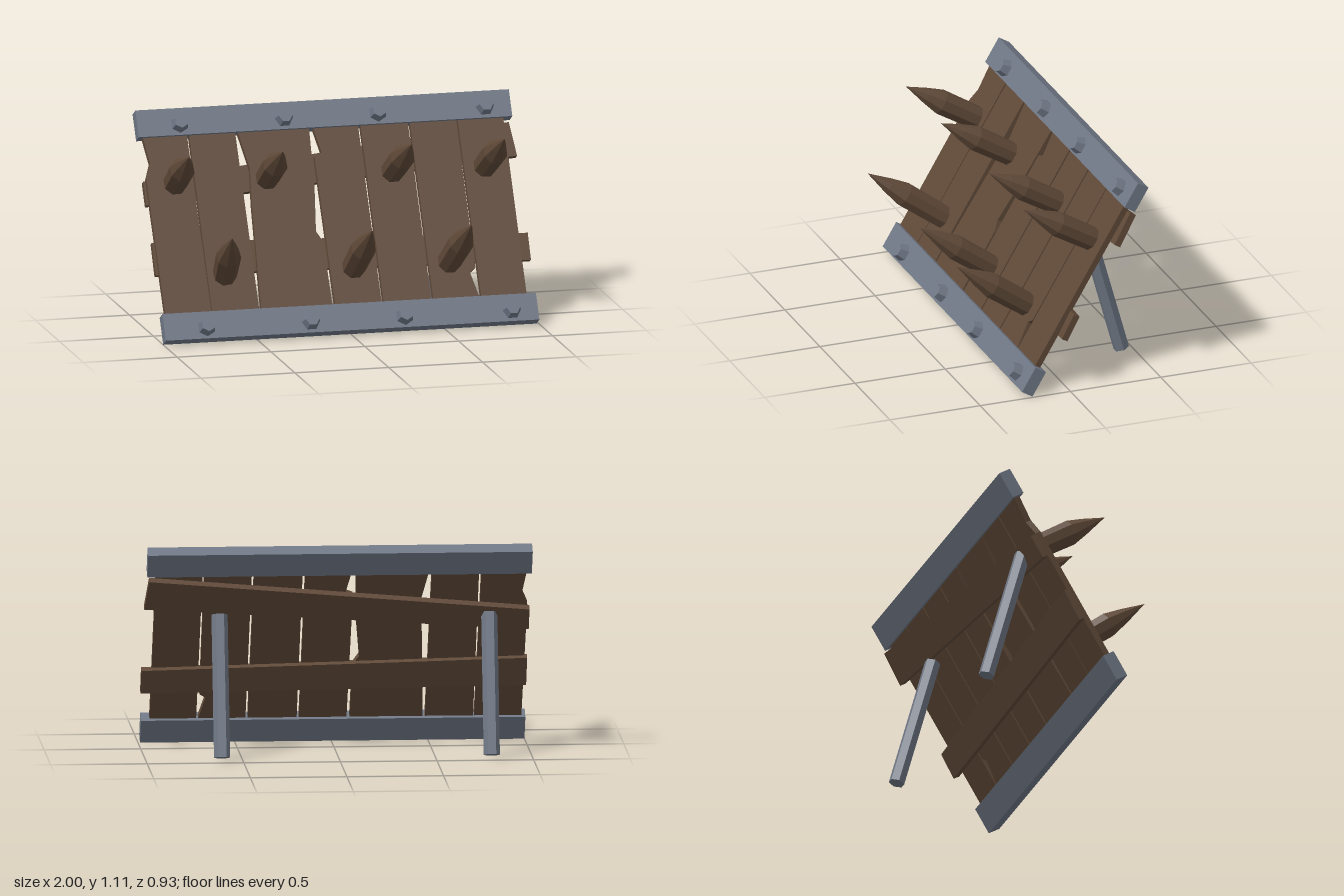
import * as THREE from 'three';

const TILT = -0.538;          // panel leans back
const COS = Math.cos(TILT);
const TOP = 1.108;            // top bar's distance up the panel

export function createModel() {
  const wood = new THREE.MeshStandardMaterial({ color: 0x5f4938 });
  wood.name = 'dark wood';
  const steel = new THREE.MeshStandardMaterial({ color: 0x6f7785 });
  steel.name = 'grey steel';

  const root = new THREE.Group();
  root.name = 'spikedBarricade';
  // Panel space: x across, y up the slope, z out of the front face
  const panel = new THREE.Group();
  panel.name = 'panel';
  panel.position.set(0, 0.08, 0.198);
  panel.rotation.x = TILT;
  root.add(panel);

  // Faceted mesh
  const add = (parent, name, geometry, material) => {
    const g = geometry.index ? geometry.toNonIndexed() : geometry;
    g.computeVertexNormals();
    const mesh = new THREE.Mesh(g, material);
    mesh.name = name;
    parent.add(mesh);
    return mesh;
  };

  // Flat board cut from an outline
  const board = (name, points, z, depth) => {
    const shape = new THREE.Shape(points.map(([x, y]) => new THREE.Vector2(x, y)));
    const mesh = add(panel, name,
      new THREE.ExtrudeGeometry(shape, { depth, bevelEnabled: false }), wood);
    mesh.position.z = z;
    return mesh;
  };

  // Upright planks, with chipped edges; heights here are above the ground
  const lo = 0.12, hi = 1.0;
  const planks = [
    [[-0.98, lo], [-0.735, lo], [-0.74, hi], [-0.98, hi], [-0.955, 0.85], [-0.985, 0.78]],
    [[-0.73, lo], [-0.48, lo], [-0.483, hi], [-0.728, hi]],
    [[-0.47, lo], [-0.09, lo], [-0.093, 0.44], [-0.125, 0.49], [-0.1, 0.71], [-0.088, hi],
      [-0.475, hi], [-0.43, 0.8], [-0.445, 0.63]],
    [[-0.075, lo], [0.172, lo], [0.172, hi], [-0.075, hi], [-0.04, 0.855], [-0.08, 0.84]],
    [[0.183, lo], [0.437, lo], [0.437, hi], [0.185, hi]],
    [[0.448, lo], [0.7, lo], [0.66, 0.26], [0.692, 0.28], [0.695, hi], [0.448, hi]],
    [[0.703, lo], [0.945, lo], [0.945, hi], [0.703, hi]],
  ];
  planks.forEach((p, i) =>
    board(`plank${i + 1}`, p.map(([x, y]) => [x, (y - 0.08) / COS]), -0.016, 0.032));

  // Crooked cross rails on the back
  board('upperRail', [[-0.995, 0.68], [1, 0.835], [0.98, 1.02], [-0.995, 0.81]], -0.053, 0.036);
  const lower = board('lowerRail',
    [[-0.995, 0.3], [1, 0.27], [1, 0.415], [-0.995, 0.475]], -0.063, 0.034);
  lower.rotation.x = 0.05;

  // Steel bars with hexagonal bolts
  for (const [label, y] of [['bottom', 0], ['top', TOP]]) {
    const bar = add(panel, `${label}Bar`, new THREE.BoxGeometry(1.99, 0.146, 0.067), steel);
    bar.position.set(-0.005, y, 0);
    [-0.775, -0.22, 0.28, 0.85].forEach((x, i) => {
      const g = new THREE.CylinderGeometry(0.036, 0.05, 0.05, 6);
      g.rotateY((i % 2) * Math.PI / 6).rotateX(Math.PI / 2);
      add(panel, `${label}Bolt${i + 1}`, g, steel).position.set(x, y - 0.013, 0.054);
    });
  }

  // Sharpened stakes: [base x, tip x]
  const stake = (name, base, tip) => {
    const dir = tip.clone().sub(base);
    const len = dir.length();
    const profile = [[0, 0], [0.063, 0], [0.066, 0.53], [0.041, 0.73], [0, 1]]
      .map(([r, t]) => new THREE.Vector2(r, t * len));
    const mesh = add(panel, name, new THREE.LatheGeometry(profile, 8, Math.PI / 8), wood);
    mesh.position.copy(base);
    mesh.quaternion.setFromUnitVectors(new THREE.Vector3(0, 1, 0), dir.normalize());
  };
  [[-0.835, -0.858], [-0.345, -0.358], [0.323, 0.327], [0.815, 0.823]].forEach(([b, t], i) =>
    stake(`upperSpike${i + 1}`, new THREE.Vector3(b, 0.78, 0), new THREE.Vector3(t, 0.78, 0.457)));
  [[-0.635, -0.698], [0.05, 0.05], [0.558, 0.58]].forEach(([b, t], i) =>
    stake(`lowerSpike${i + 1}`, new THREE.Vector3(b, 0.272, 0), new THREE.Vector3(t, 0.313, 0.498)));

  // Propping legs behind
  const foot = new THREE.Vector3(0, 0.018, -0.433);
  const head = new THREE.Vector3(0, 0.735, -0.235);
  const axis = head.clone().sub(foot);
  for (const [name, x] of [['rightLeg', -0.788], ['leftLeg', 0.608]]) {
    const g = new THREE.CylinderGeometry(0.042, 0.042, axis.length(), 6);
    g.rotateY(Math.PI / 6);
    const leg = add(root, name, g, steel);
    leg.position.copy(foot).add(head).multiplyScalar(0.5).setX(x);
    leg.quaternion.setFromUnitVectors(new THREE.Vector3(0, 1, 0), axis.clone().normalize());
  }
  return root;
}
